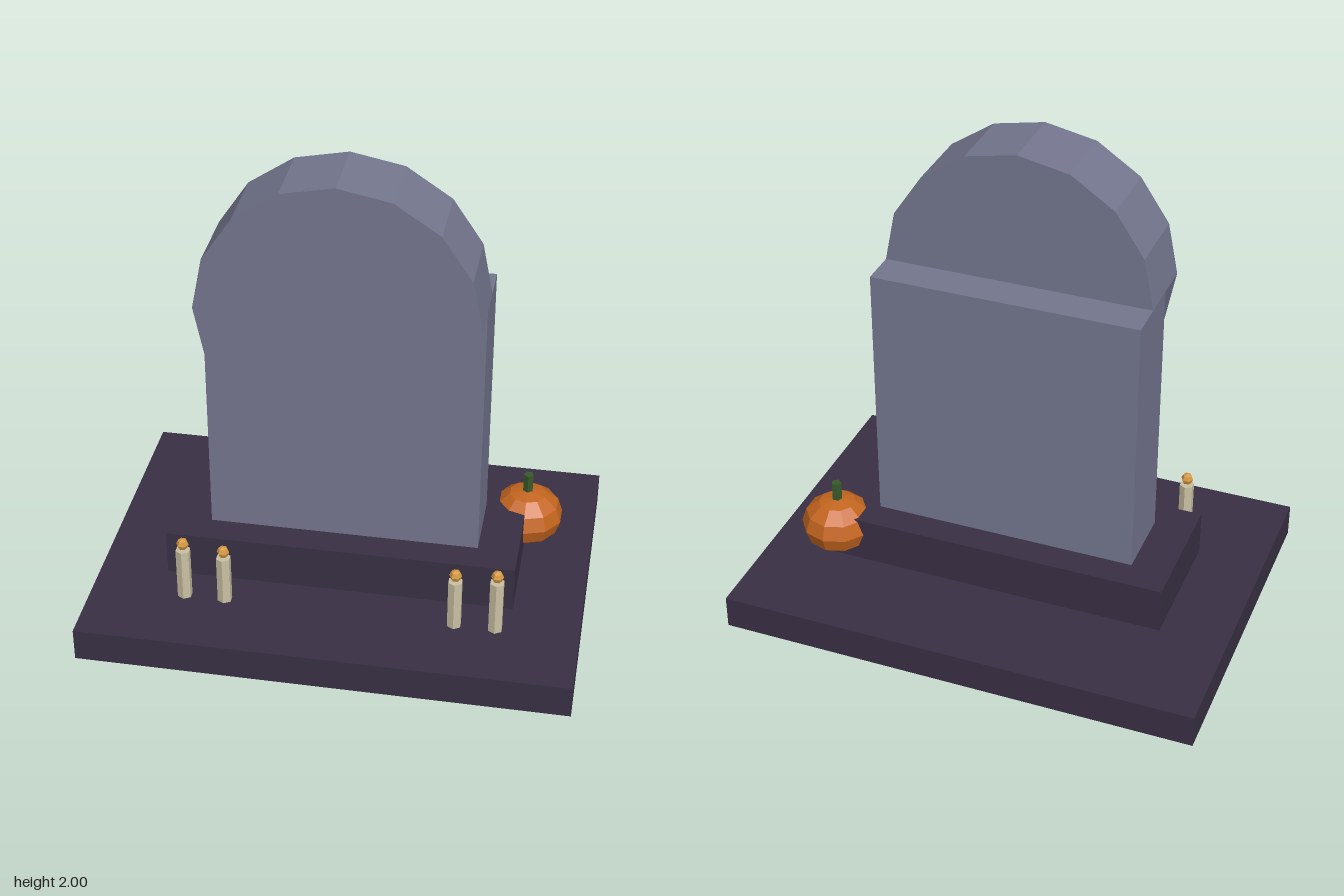
import * as THREE from 'three';

const material = (name, color) => {
  const m = new THREE.MeshStandardMaterial({ color, flatShading: true });
  m.name = name;
  return m;
};

export function createModel() {
  const model = new THREE.Group();
  model.name = 'gravestone';
  const darkStone = material('dark stone', 0x393044);
  const greyStone = material('grey stone', 0x74768e);
  const orange = material('pumpkin orange', 0xc4651f);
  const green = material('stem green', 0x3a5a2c);
  const wax = material('candle wax', 0xc9c0a2);
  const amber = material('flame amber', 0xd69a42);

  const add = (name, geometry, mat, x, y, z, parent = model) => {
    const mesh = new THREE.Mesh(geometry, mat);
    mesh.name = name;
    mesh.position.set(x, y, z);
    parent.add(mesh);
    return mesh;
  };

  // Stepped base
  add('base', new THREE.BoxGeometry(2, 0.14, 1.444), darkStone, 0, 0.07, 0);
  add('plinth', new THREE.BoxGeometry(1.44, 0.195, 0.554), darkStone, 0, 0.2375, 0);

  // Upright slab with a thick faceted disc set forward at its top
  add('slab', new THREE.BoxGeometry(1.11, 1.11, 0.306), greyStone, 0, 0.89, 0);
  const disc = new THREE.CylinderGeometry(0.555, 0.555, 0.305, 16).rotateX(Math.PI / 2);
  add('disc', disc, greyStone, 0, 1.445, 0.1525);

  // Candles in front: [x, height]
  [[-0.613, 0.23], [-0.446, 0.212], [0.497, 0.22], [0.663, 0.236]].forEach(([x, h]) => {
    const candle = new THREE.Group();
    candle.name = 'candle';
    candle.position.set(x, 0.14, 0.415);
    model.add(candle);
    add('candleBody', new THREE.CylinderGeometry(0.031, 0.031, h, 6), wax, 0, h / 2, 0, candle);
    add('flame', new THREE.SphereGeometry(0.026, 6, 4), amber, 0, h + 0.028, 0, candle);
  });

  // Pumpkin beside the plinth
  const body = new THREE.SphereGeometry(0.153, 10, 6).rotateY(Math.PI / 2).scale(1, 0.8, 1);
  add('pumpkin', body, orange, 0.72, 0.263, -0.222);
  add('pumpkinStem', new THREE.CylinderGeometry(0.021, 0.021, 0.1, 5), green, 0.72, 0.412, -0.222);

  return model;
}
